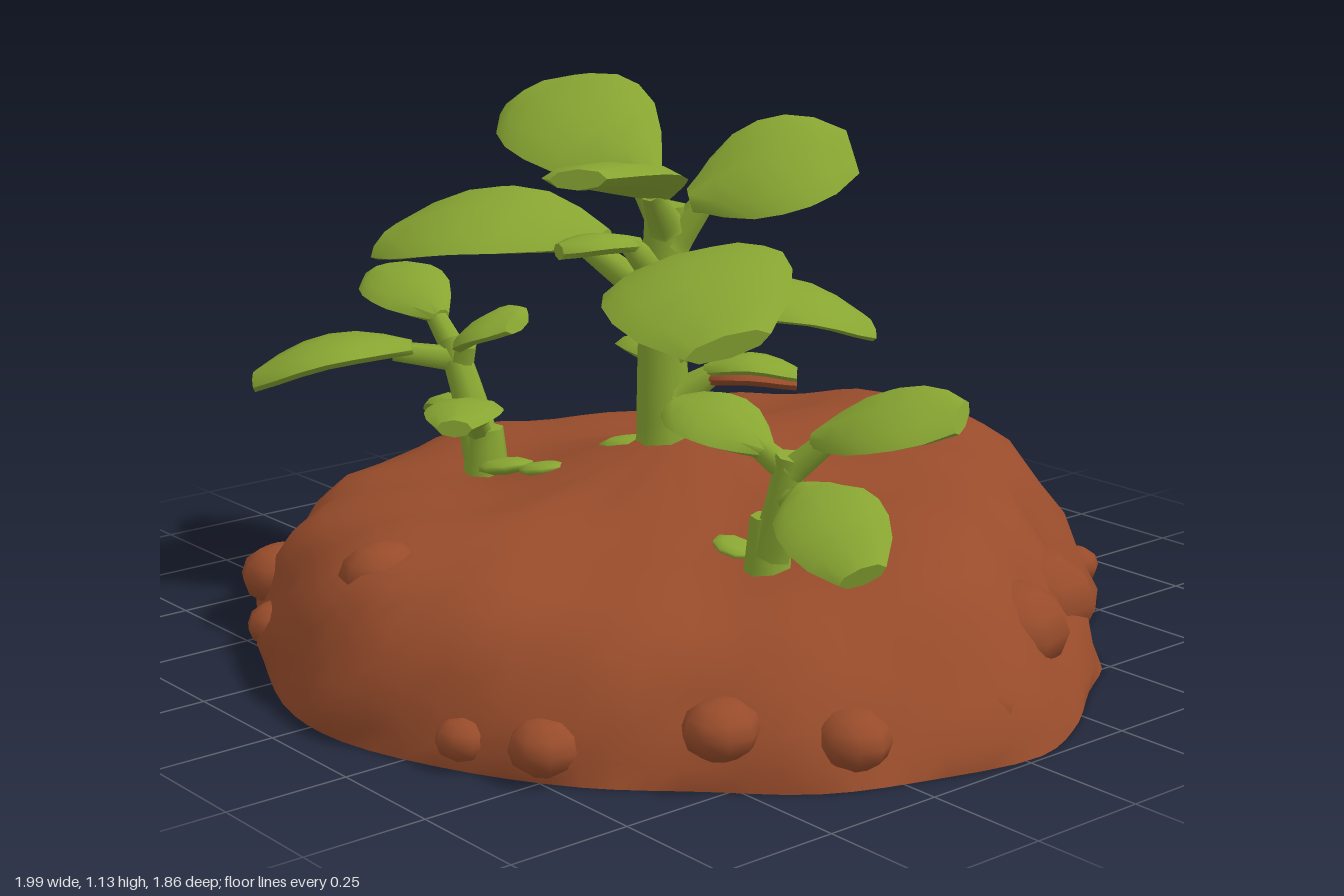
import * as THREE from 'three';
import { toCreasedNormals } from 'three/addons/utils/BufferGeometryUtils.js';

const V = (p) => new THREE.Vector3(...p);
const UP = [0, 1, 0];

const soil = new THREE.MeshStandardMaterial({ color: 0x984c2b });
soil.name = 'soil';
const leafGreen = new THREE.MeshStandardMaterial({ color: 0x88a632 });
leafGreen.name = 'leafGreen';

// Skin over rings of points, closed at both ends
function loft(rings, crease = 0.9) {
  const n = rings[0].length;
  const pos = [];
  const index = [];
  rings.flat().forEach((p) => pos.push(p.x, p.y, p.z));
  for (let i = 0; i < rings.length - 1; i++) {
    for (let j = 0; j < n; j++) {
      const a = i * n + j;
      const b = i * n + ((j + 1) % n);
      index.push(a, b, b + n, a, b + n, a + n);
    }
  }
  for (const i of [0, rings.length - 1]) {
    const c = rings[i].reduce((s, p) => s.add(p), new THREE.Vector3()).divideScalar(n);
    const k = pos.length / 3;
    pos.push(c.x, c.y, c.z);
    for (let j = 0; j < n; j++) {
      const a = i * n + j;
      const b = i * n + ((j + 1) % n);
      if (i === 0) index.push(k, b, a);
      else index.push(k, a, b);
    }
  }
  const g = new THREE.BufferGeometry();
  g.setAttribute('position', new THREE.Float32BufferAttribute(pos, 3));
  g.setIndex(index);
  return toCreasedNormals(g, crease);
}

function add(parent, name, geometry, material) {
  const m = new THREE.Mesh(geometry, material);
  m.name = name;
  parent.add(m);
  return m;
}

// Elliptical ring around the direction d
function ring(c, d, face, thick, width, n = 8) {
  const s = new THREE.Vector3().crossVectors(d, face).normalize();
  const up = new THREE.Vector3().crossVectors(s, d).normalize();
  return Array.from({ length: n }, (_, j) => {
    const a = (j / n) * Math.PI * 2;
    return c.clone().addScaledVector(up, Math.cos(a) * thick).addScaledVector(s, Math.sin(a) * width);
  });
}

// Tapered round stem through a few points
function limb(points, r0, r1) {
  const curve = new THREE.CatmullRomCurve3(points.map(V));
  const steps = 6;
  return loft(Array.from({ length: steps + 1 }, (_, i) => {
    const t = i / steps;
    const r = THREE.MathUtils.lerp(r0, r1, t);
    return ring(curve.getPoint(t), curve.getTangent(t), V([0.13, 0.2, 1]), r, r, 7);
  }), 1.2);
}

// Thick arched oval leaf; face is the direction its upper side looks
function leaf(base, tip, width, face = UP, arch = 0.04) {
  const b = V(base);
  const d = V(tip).sub(b);
  const f = V(face).normalize();
  const widths = [0.22, 0.62, 0.9, 1, 0.98, 0.82, 0.46];
  return loft(widths.map((w, i) => {
    const t = i / (widths.length - 1);
    const c = b.clone().addScaledVector(d, t).addScaledVector(f, Math.sin(Math.PI * t) * arch);
    return ring(c, d, f, 0.014 + 0.05 * width * w, (w * width) / 2);
  }), 0.8);
}

function plant(name, stemPoints, r0, r1, leaves) {
  const g = new THREE.Group();
  g.name = name;
  add(g, 'stem', limb(stemPoints, r0, r1), leafGreen);
  // Spreading foot of the stem
  const [x, y, z] = stemPoints[0];
  add(g, 'stemFoot', limb([[x, y - 0.06, z], [x, y + 0.09, z]], r0 * 1.35, r0 * 0.85), leafGreen);
  for (const [from, base, tip, width, face, arch] of leaves) {
    const mid = base.map((v, i) => v + (tip[i] - v) * 0.12);
    add(g, 'leafStalk', limb([from, mid], r1, 0.022), leafGreen);
    add(g, 'leaf', leaf(base, tip, width, face, arch), leafGreen);
  }
  return g;
}

function buildMound() {
  const outline = new THREE.CatmullRomCurve3([
    [1, -0.04], [0.94, -0.2], [0.83, -0.36], [0.74, -0.5], [0.61, -0.57], [0.47, -0.78], [0.1, -0.93],
    [-0.2, -0.9], [-0.4, -0.82], [-0.54, -0.67], [-0.62, -0.51], [-0.84, -0.33], [-1, -0.08],
    [-0.97, 0.2], [-0.83, 0.46], [-0.6, 0.68], [-0.37, 0.8], [-0.1, 0.91], [0.1, 0.92],
    [0.35, 0.84], [0.57, 0.71], [0.72, 0.56], [0.87, 0.4], [0.95, 0.2],
  ].map(([x, z]) => V([x, 0, z])), true);
  const edge = outline.getPoints(84).slice(0, -1);
  // Scale of the outline and height, from the ground to the summit
  const profile = [
    [0.99, 0], [1, 0.04], [0.98, 0.1], [0.95, 0.16], [0.91, 0.21], [0.85, 0.25], [0.77, 0.27],
    [0.68, 0.28], [0.58, 0.286], [0.47, 0.292], [0.36, 0.315], [0.25, 0.35], [0.15, 0.382], [0.05, 0.4],
  ];
  // Broad swellings: x, z, height, spread
  const swells = [
    [0.05, -0.56, 0.13, 0.26], [0.5, -0.12, 0.06, 0.16], [-0.6, -0.2, 0.02, 0.2], [-0.4, -0.45, 0.04, 0.13],
    [0.48, -0.45, 0.03, 0.12], [0.7, 0.05, 0.03, 0.12], [0, 0.5, 0.03, 0.25], [0.3, -0.33, 0.03, 0.07],
  ];
  return loft(profile.map(([s, y]) => edge.map((p) => {
    const a = Math.atan2(p.z, p.x);
    const wobble = y > 0 ? 0.01 * Math.sin(a * 13 + y * 20) + 0.008 * Math.sin(a * 23 - y * 31) : 0;
    const q = p.clone().multiplyScalar(s * (1 + wobble - (y > 0 ? 0.008 : 0)));
    // Flanks and back slope more gently than the front
    const rise = Math.min(1, y / 0.2);
    q.x *= 1 - 0.075 * rise;
    if (q.z < 0) q.z *= 1 - 0.035 * rise;
    let h = 0;
    for (const [x, z, amp, r] of swells) {
      h += amp * Math.exp(-((q.x - x) ** 2 + (q.z - z) ** 2) / (2 * r * r));
    }
    h += 0.008 * Math.sin(q.x * 17 + 1) * Math.cos(q.z * 15);
    q.y = y + h * Math.min(1, y / 0.25);
    return q;
  })), 1.0);
}

export function createModel() {
  const model = new THREE.Group();
  model.name = 'seedlingsOnMound';
  add(model, 'mound', buildMound(), soil);

  // Half-sunk clods of earth: x, y, z, radius
  const clods = [
    [-0.54, 0.11, 0.64, 0.09], [0.72, 0.11, 0.51, 0.08], [-0.7, 0.07, 0.53, 0.07], [0.85, 0.08, 0.31, 0.08],
    [-0.05, 0.25, 0.71, 0.09], [0.3, 0.33, -0.33, 0.08], [-0.26, 0.22, -0.76, 0.07], [-0.4, 0.06, 0.73, 0.07],
    [0.34, 0.05, 0.8, 0.06], [0.48, 0.06, 0.72, 0.08], [-0.75, 0.1, -0.26, 0.11], [-0.6, 0.16, -0.38, 0.13],
    [0.75, 0.15, -0.2, 0.13], [0.6, 0.13, -0.4, 0.15], [0.86, 0.07, -0.02, 0.1], [0.42, 0.08, -0.75, 0.06],
  ];
  clods.forEach(([x, y, z, r], i) => {
    const m = add(model, 'clod', new THREE.SphereGeometry(r, 9, 6), soil);
    m.position.set(x, y, z);
    m.rotation.y = i * 2;
    m.scale.set(1, 0.7, 0.9);
  });

  // Leaves: stalk start, leaf base, tip, width, facing, arch
  const middle = plant('middlePlant', [[-0.01, 0.38, 0.03], [-0.02, 0.6, 0.03], [-0.01, 0.9, 0.03]], 0.062, 0.042, [
    [[-0.01, 0.86, 0.03], [-0.05, 0.95, 0.04], [-0.45, 1.07, 0.05], 0.31, [0.2, 1, 0.5], 0.04],
    [[0, 0.82, 0.02], [0.03, 0.91, 0], [0.24, 1.01, -0.25], 0.31, [0.35, 1, 0.45], 0.025],
    [[0, 0.86, 0.04], [0.02, 0.93, 0.07], [0.19, 1.02, 0.41], 0.26, [-0.1, 1, 0], 0.02],
    [[-0.02, 0.7, 0.04], [-0.12, 0.82, 0.1], [-0.56, 0.78, 0.34], 0.34, [-0.2, 1, 0.42], 0.05],
    [[0, 0.7, 0.04], [0.1, 0.8, 0.11], [0.55, 0.755, 0.35], 0.36, [0.2, 1, 0.42], 0.06],
    [[0, 0.6, 0.02], [0.06, 0.68, -0.06], [0.18, 0.62, -0.36], 0.23, [0.2, 1, 0.1], 0.04],
    [[-0.03, 0.5, 0.02], [-0.08, 0.55, -0.02], [-0.31, 0.53, -0.14], 0.14, UP, 0.02],
    [[0.01, 0.5, 0.02], [0.05, 0.555, -0.02], [0.18, 0.55, -0.16], 0.13, UP, 0.02],
    [[-0.01, 0.76, 0.05], [-0.03, 0.82, 0.08], [-0.08, 0.82, 0.25], 0.12, UP, 0.01],
  ]);
  // Earth-brown underside of the lowest leaf
  add(middle, 'leafUnderside', leaf([0.05, 0.54, -0.02], [0.18, 0.535, -0.16], 0.128, UP, 0.015), soil);
  model.add(middle);

  model.add(plant('rightPlant', [[-0.38, 0.3, 0.22], [-0.43, 0.43, 0.22], [-0.5, 0.56, 0.22]], 0.045, 0.03, [
    [[-0.49, 0.54, 0.22], [-0.55, 0.6, 0.21], [-0.82, 0.65, 0.19], 0.18, [0, 1, 0.3], 0.02],
    [[-0.48, 0.52, 0.22], [-0.53, 0.55, 0.3], [-0.73, 0.48, 0.57], 0.24, [-0.2, 1, 0.3], 0.03],
    [[-0.47, 0.5, 0.22], [-0.47, 0.55, 0.22], [-0.29, 0.63, 0.2], 0.17, [0, 1, 0.3], 0.02],
    [[-0.4, 0.37, 0.22], [-0.33, 0.45, 0.28], [-0.17, 0.47, 0.45], 0.16, UP, 0.02],
    [[-0.42, 0.38, 0.22], [-0.48, 0.41, 0.21], [-0.62, 0.37, 0.18], 0.1, UP, 0.02],
  ]));

  model.add(plant('leftPlant', [[0.51, 0.31, 0.21], [0.55, 0.43, 0.21], [0.57, 0.53, 0.21]], 0.042, 0.029, [
    [[0.57, 0.5, 0.21], [0.6, 0.56, 0.18], [0.87, 0.64, 0.07], 0.21, [0, 1, 0.45], 0.02],
    [[0.56, 0.44, 0.21], [0.62, 0.48, 0.23], [0.89, 0.4, 0.33], 0.2, [0.1, 1, 0.4], 0.03],
    [[0.56, 0.5, 0.21], [0.52, 0.53, 0.22], [0.3, 0.58, 0.27], 0.17, [0, 1, 0.3], 0.02],
  ]));

  // Flat green patches on the soil by the stems: x, y, z, radius
  const patches = [[-0.18, 0.343, 0.22, 0.06], [-0.31, 0.32, 0.22, 0.07], [-0.1, 0.386, 0.06, 0.07], [0.4, 0.31, 0.2, 0.05]];
  for (const [x, y, z, r] of patches) {
    const m = add(model, 'greenPatch', new THREE.SphereGeometry(r, 8, 5), leafGreen);
    m.position.set(x, y, z);
    m.rotation.z = Math.sign(-x) * 0.2;
    m.scale.set(1, 0.25, 0.8);
  }
  return model;
}
